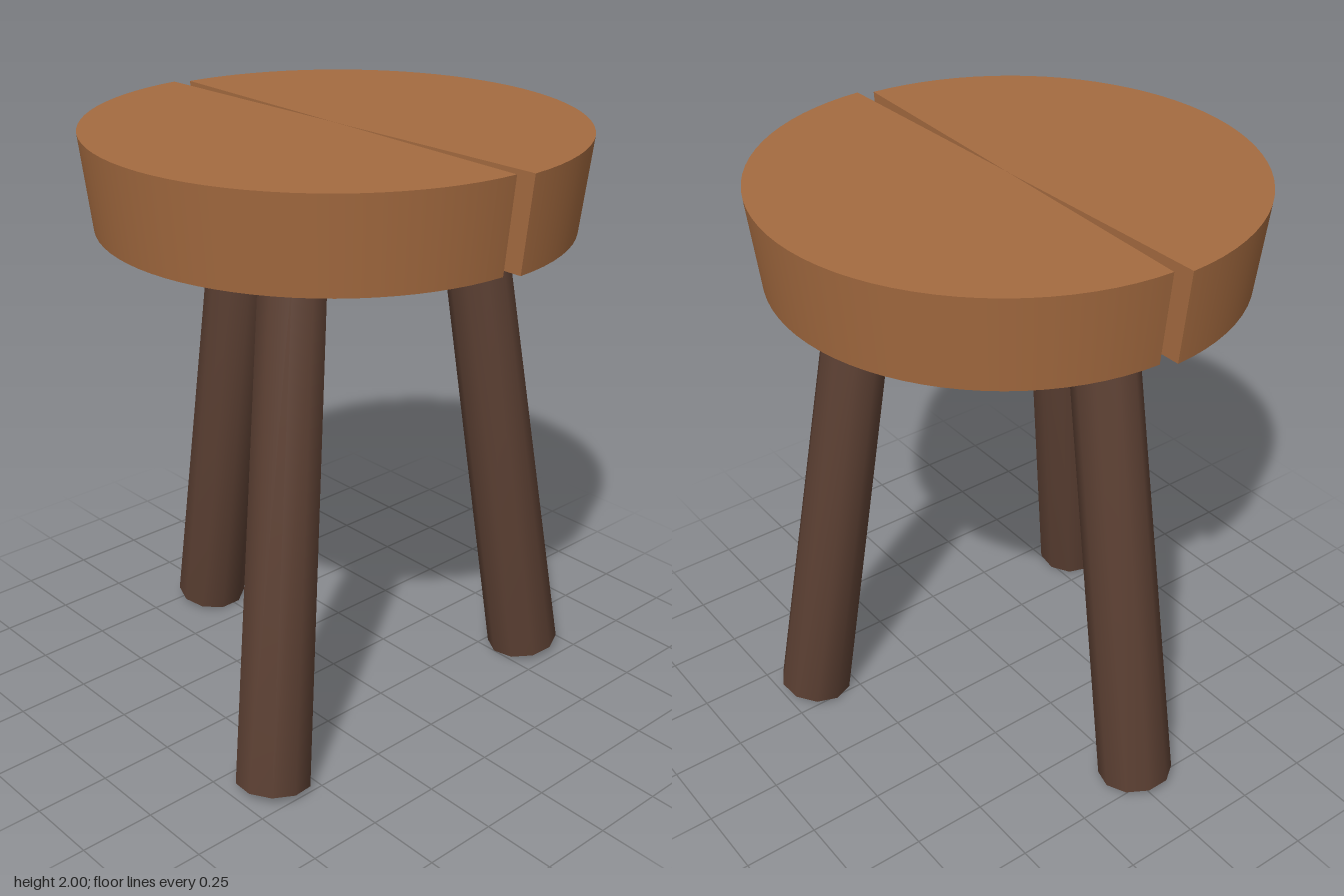
import * as THREE from 'three';
import { mergeVertices } from 'three/addons/utils/BufferGeometryUtils.js';

const seatWood = new THREE.MeshStandardMaterial({ color: 0xa56b40, side: THREE.DoubleSide });
const legWood = new THREE.MeshStandardMaterial({ color: 0x5c4033 });

const TOP_R = 0.792, BOTTOM_R = 0.757, SEAT_Y = 1.69, SEAT_H = 0.31;
const GAP = 0.029; // angle cut from each end of a half

// Half of the split seat: a tapered, not quite half-round slab closed by two cut walls
function seatHalf(name, start, z) {
  const half = new THREE.Group();
  half.name = name;
  const from = start + GAP, sweep = Math.PI - 2 * GAP;
  const slab = new THREE.Mesh(
    new THREE.CylinderGeometry(TOP_R, BOTTOM_R, SEAT_H, 40, 1, false, from, sweep), seatWood);
  slab.name = 'seatSlab';
  slab.position.y = SEAT_H / 2;
  half.add(slab);

  const profile = new THREE.Shape([
    new THREE.Vector2(0, 0), new THREE.Vector2(BOTTOM_R, 0),
    new THREE.Vector2(TOP_R, SEAT_H), new THREE.Vector2(0, SEAT_H),
  ]);
  for (const theta of [from, from + sweep]) {
    const wall = new THREE.Mesh(new THREE.ShapeGeometry(profile), seatWood);
    wall.name = 'cutWall';
    wall.rotation.y = theta - Math.PI / 2;
    half.add(wall);
  }
  half.position.set(0, SEAT_Y, z);
  return half;
}

// Ten-sided tapered leg running between two centre points, with a flat facing outwards
function leg(name, foot, head, turn) {
  const axis = head.clone().sub(foot);
  let geometry = new THREE.CylinderGeometry(0.107, 0.126, axis.length(), 10);
  geometry.rotateY(turn + Math.PI / 10);
  // Shared corners give soft shading over the rims
  geometry.deleteAttribute('normal');
  geometry.deleteAttribute('uv');
  geometry = mergeVertices(geometry);
  geometry.computeVertexNormals();
  const mesh = new THREE.Mesh(geometry, legWood);
  mesh.name = name;
  mesh.position.copy(foot).add(head).multiplyScalar(0.5);
  mesh.quaternion.setFromUnitVectors(new THREE.Vector3(0, 1, 0), axis.normalize());
  return mesh;
}

export function createModel() {
  const stool = new THREE.Group();
  stool.name = 'stool';
  const v = (x, y, z) => new THREE.Vector3(x, y, z);

  stool.add(seatHalf('seatLeftHalf', 0, 0.023));
  stool.add(seatHalf('seatRightHalf', Math.PI, -0.005));

  const third = Math.PI * 2 / 3;
  stool.add(leg('backLeg', v(-0.018, 0.022, -0.695), v(-0.012, 1.702, -0.435), 0));
  stool.add(leg('frontLeftLeg', v(0.622, 0.02, 0.357), v(0.393, 1.702, 0.23), -third));
  stool.add(leg('frontRightLeg', v(-0.61, 0.02, 0.388), v(-0.383, 1.702, 0.25), third));
  return stool;
}
